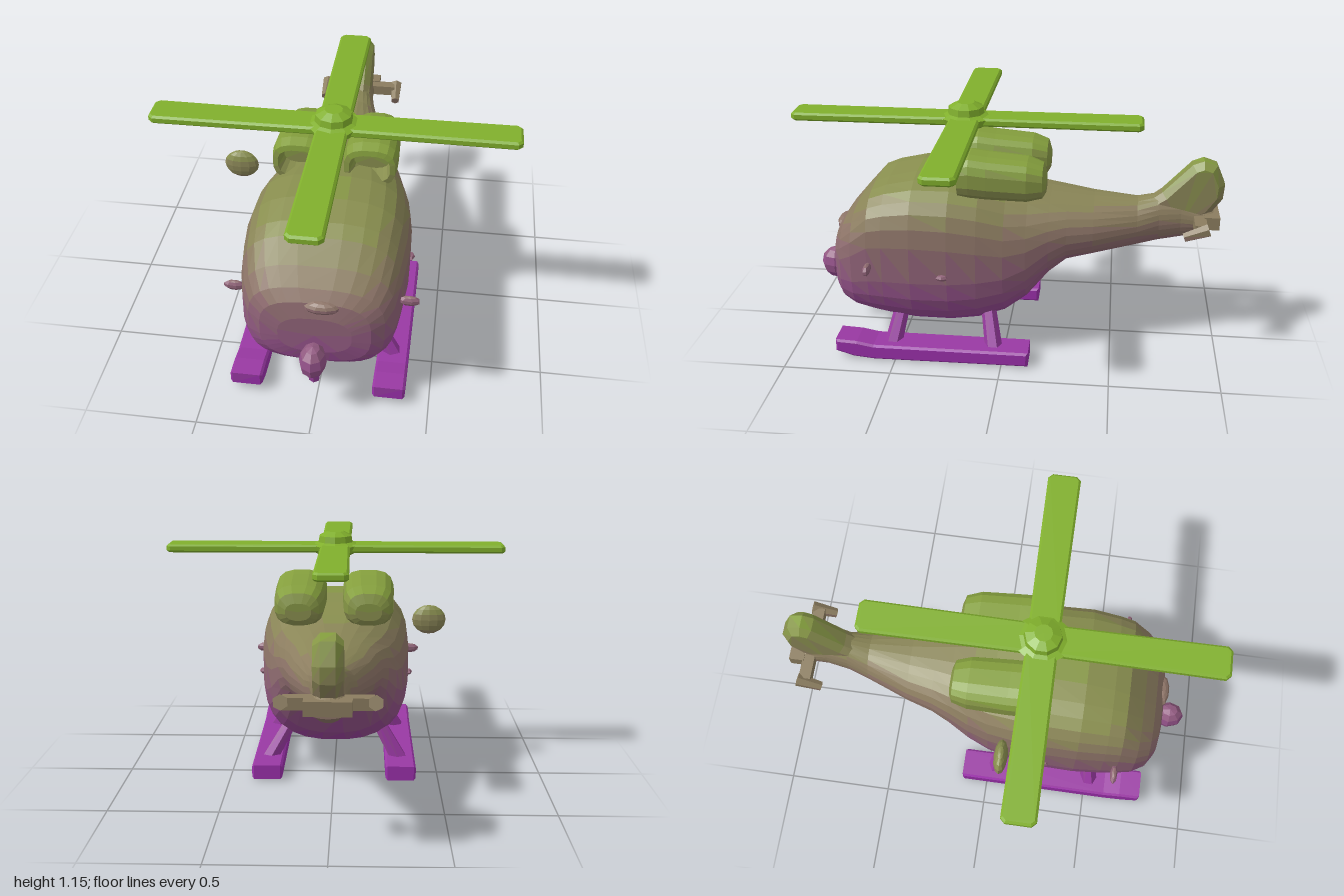
import * as THREE from 'three';

const LOW = new THREE.Color(0x9c2cb0), HIGH = new THREE.Color(0x80b428);
const BANDS = 16, TOP = 1.12;

function bandMaterial(band) {
  const t = (band + 0.5) / BANDS;
  const c = LOW.clone().convertLinearToSRGB().lerp(HIGH.clone().convertLinearToSRGB(), t);
  return new THREE.MeshStandardMaterial({ color: c.convertSRGBToLinear(), flatShading: true });
}

// Split a placed geometry into height bands so the paint fades from purple to green
function paint(name, geometry) {
  const g = geometry.index ? geometry.toNonIndexed() : geometry;
  const p = g.attributes.position.array, lists = [];
  for (let i = 0; i < p.length; i += 9) {
    const y = (p[i + 1] + p[i + 4] + p[i + 7]) / 3;
    const b = Math.max(0, Math.min(BANDS - 1, Math.floor(y / TOP * BANDS)));
    (lists[b] ??= []).push(...p.slice(i, i + 9));
  }
  const part = new THREE.Group();
  part.name = name;
  lists.forEach((list, b) => {
    const bg = new THREE.BufferGeometry();
    bg.setAttribute('position', new THREE.Float32BufferAttribute(list, 3));
    bg.computeVertexNormals();
    const mesh = new THREE.Mesh(bg, bandMaterial(b));
    mesh.name = name + 'Panel' + b;
    part.add(mesh);
  });
  return part;
}

// Closed loft along z; section = [z, bottom, top, halfWidth, roundness, centreX]
function loft(sections, n = 24) {
  const pos = [], idx = [];
  const spow = (v, e) => Math.sign(v) * Math.abs(v) ** e;
  for (const [z, y0, y1, w, k = 2, cx = 0] of sections) {
    for (let j = 0; j < n; j++) {
      const a = (j + 0.5) / n * Math.PI * 2;
      pos.push(cx + w * spow(Math.cos(a), 2 / k), (y0 + y1) / 2 + (y1 - y0) / 2 * spow(Math.sin(a), 2 / k), z);
    }
  }
  const m = sections.length;
  for (let i = 0; i < m - 1; i++) for (let j = 0; j < n; j++) {
    const a = i * n + j, b = i * n + (j + 1) % n;
    idx.push(a, b, b + n, a, b + n, a + n);
  }
  // end caps
  [0, m - 1].forEach((s, end) => {
    const [z, y0, y1, , , cx = 0] = sections[s], c = pos.length / 3;
    pos.push(cx, (y0 + y1) / 2, z);
    for (let j = 0; j < n; j++) {
      const a = s * n + j, b = s * n + (j + 1) % n;
      end ? idx.push(c, a, b) : idx.push(c, b, a);
    }
  });
  const g = new THREE.BufferGeometry();
  g.setAttribute('position', new THREE.Float32BufferAttribute(pos, 3));
  g.setIndex(idx);
  return g;
}

// Side outline given as [z, y] pairs, extruded across x with a small bevel
function sideSlab(points, width, cx, bevel) {
  const s = new THREE.Shape(points.map(([z, y]) => new THREE.Vector2(-z, y)));
  const g = new THREE.ExtrudeGeometry(s, { depth: width - 2 * bevel, bevelSize: bevel, bevelOffset: -bevel, bevelThickness: bevel, bevelSegments: 1 });
  return g.translate(0, 0, -width / 2 + bevel).rotateY(Math.PI / 2).translate(cx, 0, 0);
}

// Tapered strut between two points
function rod(a, b, r0, r1, sides = 6) {
  const A = new THREE.Vector3(...a), B = new THREE.Vector3(...b), d = B.clone().sub(A);
  const g = new THREE.CylinderGeometry(r1, r0, d.length(), sides);
  g.applyQuaternion(new THREE.Quaternion().setFromUnitVectors(new THREE.Vector3(0, 1, 0), d.normalize()));
  return g.translate(...A.add(B).multiplyScalar(0.5).toArray());
}

function ball(x, y, z, rx, ry, rz, w = 10, h = 7) {
  return new THREE.SphereGeometry(1, w, h).scale(rx, ry, rz).translate(x, y, z);
}

export function createModel() {
  const model = new THREE.Group();
  model.name = 'helicopter';
  const add = (name, g) => model.add(paint(name, g));

  // cabin and tail boom
  add('fuselage', loft([
    [-0.97, 0.6, 0.66, 0.08], [-0.9, 0.56, 0.7, 0.07], [-0.8, 0.535, 0.74, 0.07],
    [-0.7, 0.515, 0.745, 0.085], [-0.6, 0.49, 0.72, 0.115], [-0.4, 0.45, 0.73, 0.19, 2.1],
    [-0.28, 0.425, 0.745, 0.225, 2.2], [-0.2, 0.36, 0.755, 0.255, 2.3], [-0.1, 0.235, 0.77, 0.295, 2.4],
    [0, 0.165, 0.785, 0.325, 2.6], [0.12, 0.13, 0.825, 0.35, 2.8], [0.25, 0.12, 0.845, 0.365, 3],
    [0.42, 0.125, 0.845, 0.368, 3.1], [0.55, 0.145, 0.815, 0.357, 3.2], [0.62, 0.16, 0.785, 0.348, 3.3],
    [0.7, 0.18, 0.695, 0.33, 3.2], [0.76, 0.21, 0.625, 0.295, 3.1], [0.795, 0.25, 0.575, 0.24, 3],
    [0.81, 0.31, 0.5, 0.16, 2.6],
  ], 28));

  // brow above the nose
  add('noseBrow', ball(0.03, 0.555, 0.79, 0.08, 0.03, 0.035));

  // tail fin and tailplane
  add('tailFin', sideSlab([[-0.62, 0.69], [-0.71, 0.76], [-0.84, 0.9], [-0.89, 0.92], [-0.95, 0.9],
    [-0.99, 0.81], [-0.985, 0.74], [-0.93, 0.66], [-0.8, 0.58]], 0.12, 0, 0.03));
  add('tailplane', new THREE.BoxGeometry(0.36, 0.05, 0.055).translate(0, 0.64, -0.885));
  add('tailEnd', new THREE.BoxGeometry(0.19, 0.06, 0.07).translate(0, 0.64, -0.94));

  // nose sensor and the stub beneath it
  add('noseSensor', ball(0, 0.31, 0.86, 0.06, 0.08, 0.075, 8, 6));
  add('noseStub', rod([0, 0.17, 0.83], [0, 0.28, 0.84], 0.025, 0.035));

  // disc on the right-hand side
  add('sideDisc', ball(-0.45, 0.75, 0.08, 0.08, 0.07, 0.032, 12, 8));

  // rotor hub and four blades
  const hub = [[0, 1.02], [0.05, 1.03], [0.11, 1.06], [0.12, 1.09], [0.085, 1.105], [0.08, 1.135], [0.04, 1.155], [0, 1.155]];
  add('rotorHub', new THREE.LatheGeometry(hub.map(p => new THREE.Vector2(...p)), 10).translate(0, 0, 0.2));
  for (let i = 0; i < 4; i++) {
    const s = new THREE.Shape([[0.03, -0.07], [0.79, -0.075], [0.81, -0.055], [0.81, 0.055], [0.79, 0.075], [0.03, 0.07]]
      .map(p => new THREE.Vector2(...p)));
    const g = new THREE.ExtrudeGeometry(s, { depth: 0.02, bevelSize: 0.01, bevelOffset: -0.01, bevelThickness: 0.009, bevelSegments: 1 });
    add('rotorBlade', g.rotateX(-Math.PI / 2).rotateY(i * Math.PI / 2).translate(0, 1.068, 0.2));
  }

  for (const [side, s] of [['left', 1], ['right', -1]]) {
    // engine pod with a recessed intake
    const cx = s * 0.16;
    add(side + 'EnginePod', loft([
      [-0.185, 0.8, 0.88, 0.06, 2.4, cx], [-0.17, 0.775, 0.925, 0.095, 2.6, cx], [-0.1, 0.76, 0.95, 0.115, 2.8, cx],
      [0.08, 0.765, 0.965, 0.122, 2.8, cx], [0.16, 0.77, 0.975, 0.122, 2.8, cx], [0.21, 0.775, 0.96, 0.115, 2.8, cx],
      [0.215, 0.8, 0.935, 0.092, 2.8, cx], [0.12, 0.81, 0.92, 0.08, 2.8, cx],
    ], 16));

    // skid with its upturned toe
    add(side + 'Skid', sideSlab([[0.78, 0.035], [0.78, 0.095], [0.68, 0.09], [0.6, 0.075], [-0.125, 0.075],
      [-0.125, 0.005], [0.6, 0], [0.7, 0.01]], 0.145, s * 0.32, 0.01));
    add(side + 'FrontStrut', rod([s * 0.32, 0.05, 0.52], [s * 0.21, 0.24, 0.48], 0.042, 0.034));
    add(side + 'RearStrut', rod([s * 0.32, 0.05, 0.04], [s * 0.21, 0.24, 0.08], 0.042, 0.034));

    // small probe on the cabin side
    add(side + 'Probe', ball(s * 0.385, 0.47, 0.61, 0.05, 0.025, 0.018, 7, 5));
    add(side + 'DoorHandle', ball(s * 0.365, 0.435, 0.27, 0.02, 0.015, 0.03, 6, 4));

    // swept tip of the tailplane
    add(side + 'TailTip', rod([s * 0.185, 0.65, -0.92], [s * 0.19, 0.61, -0.81], 0.032, 0.022));
  }
  return model;
}
